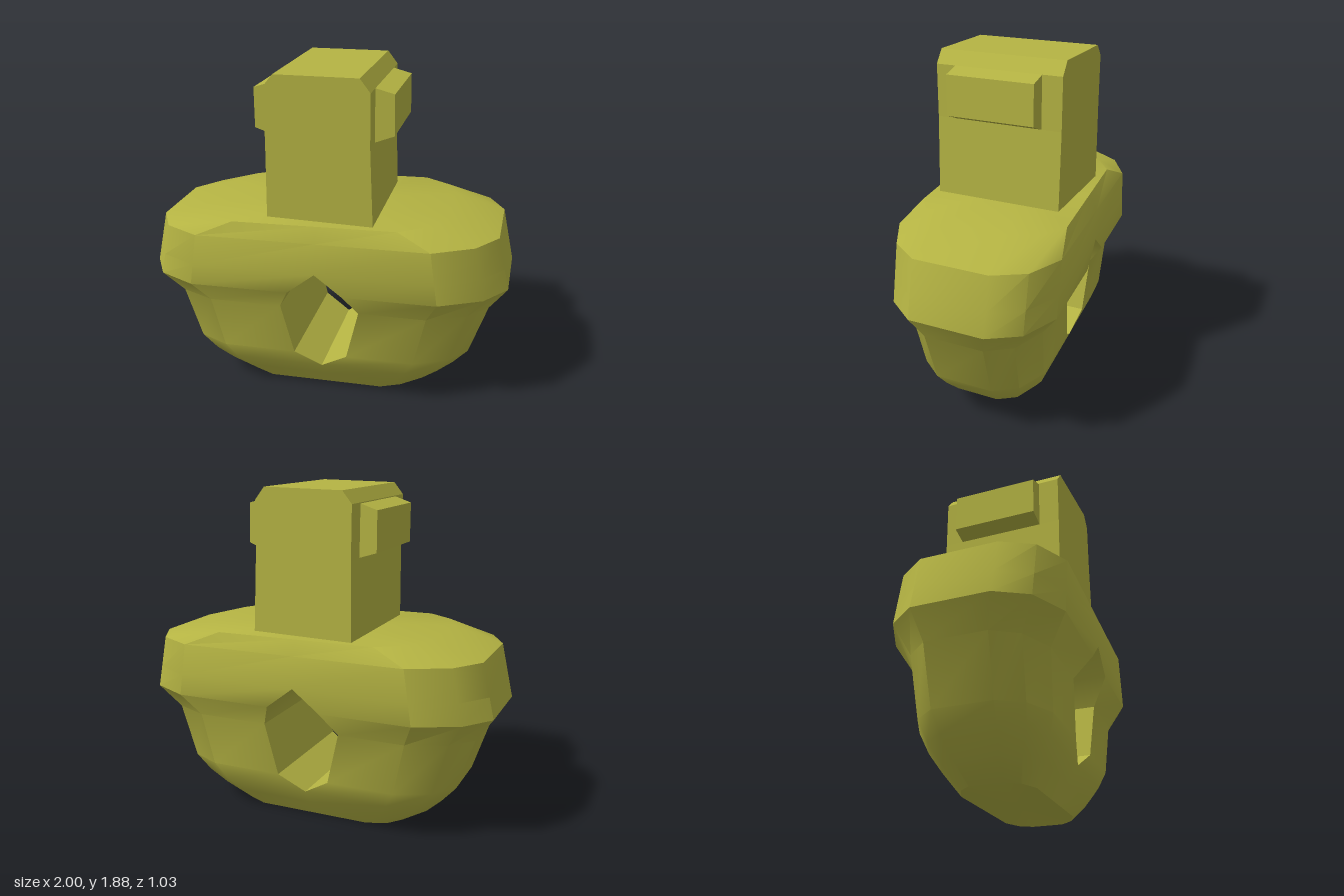
import * as THREE from 'three';
import { toCreasedNormals } from 'three/addons/utils/BufferGeometryUtils.js';

// Half of the body's plan outline; the other half is the same turned by 180 degrees
const FRONT_LEFT = [[-1, 0.27], [-0.9, 0.43], [-0.69, 0.515]];
const FRONT_RIGHT = [[0.65, 0.42], [0.88, 0.3], [1, 0.14]];

// Body levels: height, x scale, z scale, half width of the hole
const LEVELS = [
  [0, 0.49, 0.44, 0],
  [0.1, 0.64, 0.58, 0],
  [0.19, 0.73, 0.7, 0],
  [0.285, 0.81, 0.77, 0.15],
  [0.585, 0.905, 0.805, 0.22],
  [0.725, 1, 1, 0.15],
  [0.845, 0.972, 1, 0],
  [1.025, 0.93, 1, 0],
  [1.105, 0.65, 0.9, 0],
];

function ring([y, sx, sz, w]) {
  const scale = ([x, z]) => [x * sx, z * sz];
  const left = FRONT_LEFT.map(scale), right = FRONT_RIGHT.map(scale);
  const [c, d] = [left[2], right[0]];
  const onFront = (x) => [x, c[1] + (d[1] - c[1]) * (x - c[0]) / (d[0] - c[0])];
  const half = [...left, onFront(-w), onFront(w), ...right];
  return [...half, ...half.map(([x, z]) => [-x, -z])]
    .map(([x, z]) => new THREE.Vector3(x, y, z));
}

function bodyGeometry() {
  const rings = LEVELS.map(ring), n = rings[0].length;
  const points = [];
  const tri = (a, b, c) => points.push(a, b, c);
  const quad = (a, b, c, d) => { tri(a, b, c); tri(a, c, d); };

  for (let i = 0; i < rings.length - 1; i++) {
    const p = rings[i], q = rings[i + 1];
    // outer wall, leaving the hole's columns open
    for (let j = 0; j < n; j++) {
      const k = (j + 1) % n;
      if (j !== 3 && j !== 11) quad(p[j], p[k], q[k], q[j]);
    }
    // hole walls from front to back
    if (LEVELS[i][3] || LEVELS[i + 1][3]) {
      quad(p[3], p[12], q[12], q[3]);
      quad(p[11], p[4], q[4], q[11]);
    }
  }

  // flat top and bottom
  const top = rings[rings.length - 1], bottom = rings[0];
  const topMid = new THREE.Vector3(0, top[0].y, 0), bottomMid = new THREE.Vector3(0, 0, 0);
  for (let j = 0; j < n; j++) {
    const k = (j + 1) % n;
    if (j === 3 || j === 11) continue;
    tri(topMid, top[j], top[k]);
    tri(bottomMid, bottom[k], bottom[j]);
  }
  return toCreasedNormals(new THREE.BufferGeometry().setFromPoints(points), 0.62);
}

// Straight prism along z from an outline in x and y
function prism(outline, depth, zMid) {
  const shape = new THREE.Shape(outline.map(([x, y]) => new THREE.Vector2(x, y)));
  return new THREE.ExtrudeGeometry(shape, { depth, bevelEnabled: false })
    .translate(0, 0, zMid - depth / 2);
}

export function createModel() {
  const group = new THREE.Group();
  const olive = new THREE.MeshStandardMaterial({ color: 0xb5b443 });
  const add = (name, geometry) => {
    const mesh = new THREE.Mesh(geometry, olive);
    mesh.name = name;
    group.add(mesh);
  };

  add('body', bodyGeometry());

  // upright post with chamfered top
  add('neck', prism([
    [-0.29, 1.08], [0.29, 1.08], [0.268, 1.53], [0.265, 1.81],
    [0.21, 1.88], [-0.235, 1.875], [-0.288, 1.81], [-0.285, 1.53],
  ], 0.706, 0));

  // tapered lugs on both sides of the post
  add('leftLug', prism([[0.24, 1.53], [0.27, 1.53], [0.37, 1.57], [0.365, 1.785], [0.265, 1.81], [0.24, 1.81]], 0.485, 0));
  add('rightLug', prism([[-0.25, 1.53], [-0.25, 1.81], [-0.288, 1.805], [-0.38, 1.775], [-0.38, 1.56], [-0.285, 1.53]], 0.485, -0.005));

  return group;
}
